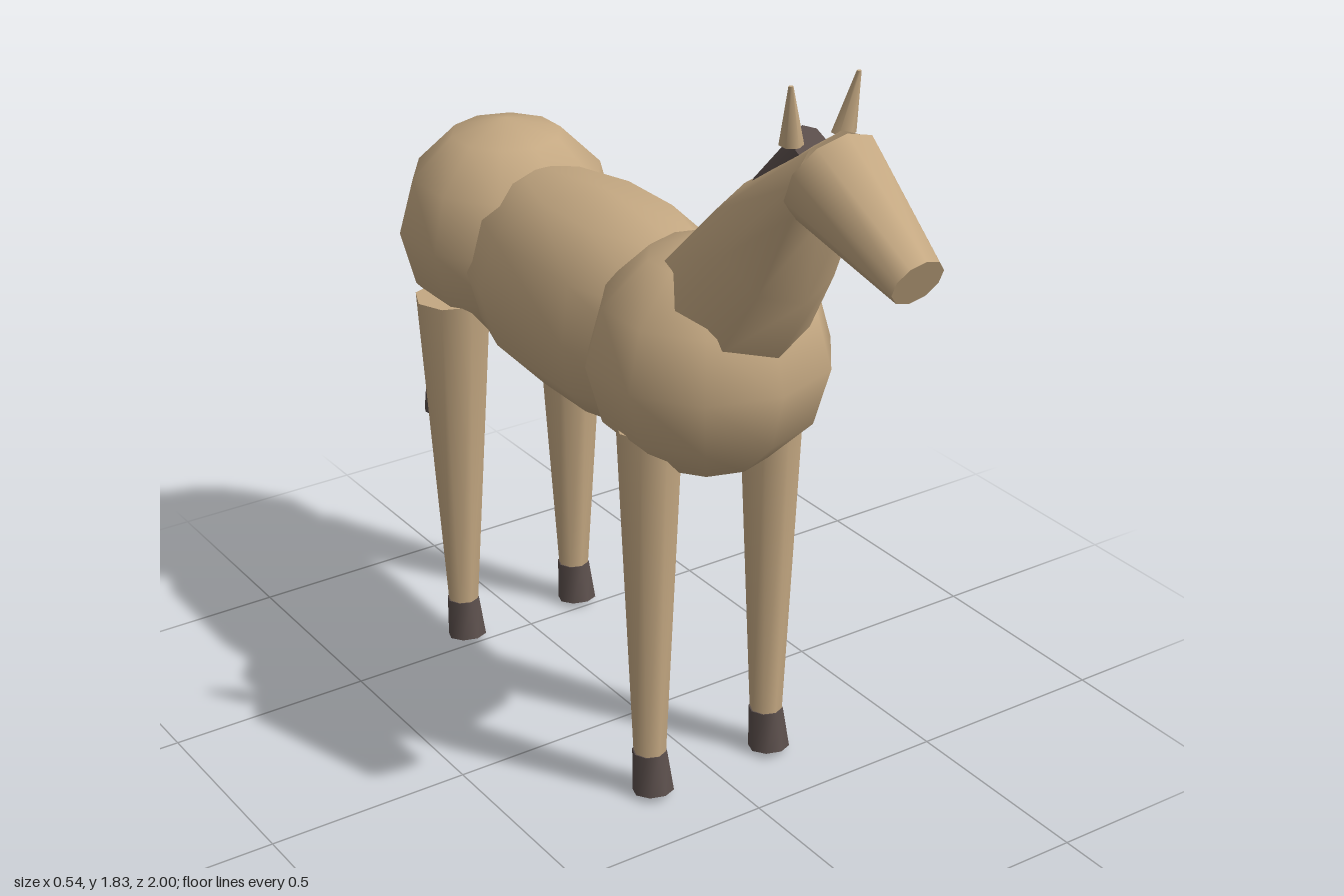
import * as THREE from 'three';

const coat = new THREE.MeshStandardMaterial({ color: 0xc4a882 });
coat.name = 'tan coat';
const dark = new THREE.MeshStandardMaterial({ color: 0x5a4e4b });
dark.name = 'dark hair and hoof';

// Smooth tube through elliptical rings [x, y, z, radiusX, radiusU, tiltDegrees], with flat end caps.
// Each ring lies in the plane of the x axis and u = (0, cos tilt, sin tilt).
function loft(rings, sides) {
  const pos = [], index = [];
  const addRing = ([x, y, z, rx, ru, tilt]) => {
    const a = THREE.MathUtils.degToRad(tilt);
    const start = pos.length / 3;
    for (let j = 0; j < sides; j++) {
      const t = (j / sides) * Math.PI * 2 + Math.PI / 2;
      const s = ru * Math.sin(t);
      pos.push(x + rx * Math.cos(t), y + s * Math.cos(a), z + s * Math.sin(a));
    }
    return start;
  };
  const starts = rings.map(addRing);
  for (let i = 0; i < rings.length - 1; i++) {
    for (let j = 0; j < sides; j++) {
      const k = (j + 1) % sides;
      const [a, b, c, d] = [starts[i] + j, starts[i] + k, starts[i + 1] + k, starts[i + 1] + j];
      index.push(a, b, c, a, c, d);
    }
  }
  const first = addRing(rings[0]);
  const last = addRing(rings[rings.length - 1]);
  for (let j = 1; j < sides - 1; j++) {
    index.push(first, first + j + 1, first + j, last, last + j, last + j + 1);
  }
  const g = new THREE.BufferGeometry();
  g.setAttribute('position', new THREE.Float32BufferAttribute(pos, 3));
  g.setIndex(index);
  g.computeVertexNormals();
  return g;
}

export function createModel() {
  const model = new THREE.Group();
  model.name = 'horse';

  const add = (name, geometry, material) => {
    const mesh = new THREE.Mesh(geometry, material);
    mesh.name = name;
    model.add(mesh);
    return mesh;
  };

  // Body: three overlapping coarse ellipsoids
  const ball = (name, y, z, rx, ry, rz) => {
    const g = new THREE.SphereGeometry(1, 10, 6);
    g.rotateY(Math.PI / 2);
    const mesh = add(name, g, coat);
    mesh.scale.set(rx, ry, rz);
    mesh.position.set(0, y, z);
  };
  ball('barrel', 1.065, -0.13, 0.252, 0.265, 0.58);
  ball('shoulders', 1.08, 0.28, 0.285, 0.275, 0.275);
  ball('rump', 1.1, -0.57, 0.268, 0.27, 0.27);

  // Neck and head
  add('neck', loft([
    [0, 1.12, 0.27, 0.175, 0.17, -55],
    [0, 1.25, 0.375, 0.165, 0.18, -58],
    [0, 1.42, 0.51, 0.14, 0.148, -48],
    [0, 1.63, 0.695, 0.108, 0.11, 15],
  ], 8), coat);
  add('head', loft([
    [0, 1.63, 0.698, 0.118, 0.113, 22],
    [0, 1.498, 0.976, 0.062, 0.058, 24],
  ], 10), coat);

  // Mane
  add('mane', loft([
    [0, 1.47, 0.44, 0.035, 0.055, -45],
    [0, 1.672, 0.628, 0.042, 0.05, -45],
  ], 8), dark);

  // Tail
  add('tail', loft([
    [0, 1.1, -0.79, 0.045, 0.045, 110],
    [0, 0.84, -0.868, 0.042, 0.052, 105],
    [0, 0.425, -0.975, 0.025, 0.025, 100],
  ], 8), dark);

  for (const [side, s] of [['left', 1], ['right', -1]]) {
    // Ears
    add(side + 'Ear', loft([
      [s * 0.066, 1.695, 0.645, 0.026, 0.026, -90],
      [s * 0.085, 1.828, 0.664, 0.005, 0.005, -90],
    ], 6), coat);

    // Legs and hooves
    for (const [end, z, r] of [['Front', 0.29, 0.072], ['Back', -0.56, 0.09]]) {
      const x = s * 0.167;
      add(side + end + 'Leg', loft([
        [x, 0.95, z, r + 0.005, r, 90],
        [x, 0.11, z + 0.005, 0.038, 0.04, 90],
      ], 8), coat);
      add(side + end + 'Hoof', loft([
        [x, 0.11, z + 0.005, 0.041, 0.042, 87],
        [x, 0.009, z + 0.02, 0.048, 0.052, 80],
      ], 8), dark);
    }
  }
  return model;
}
